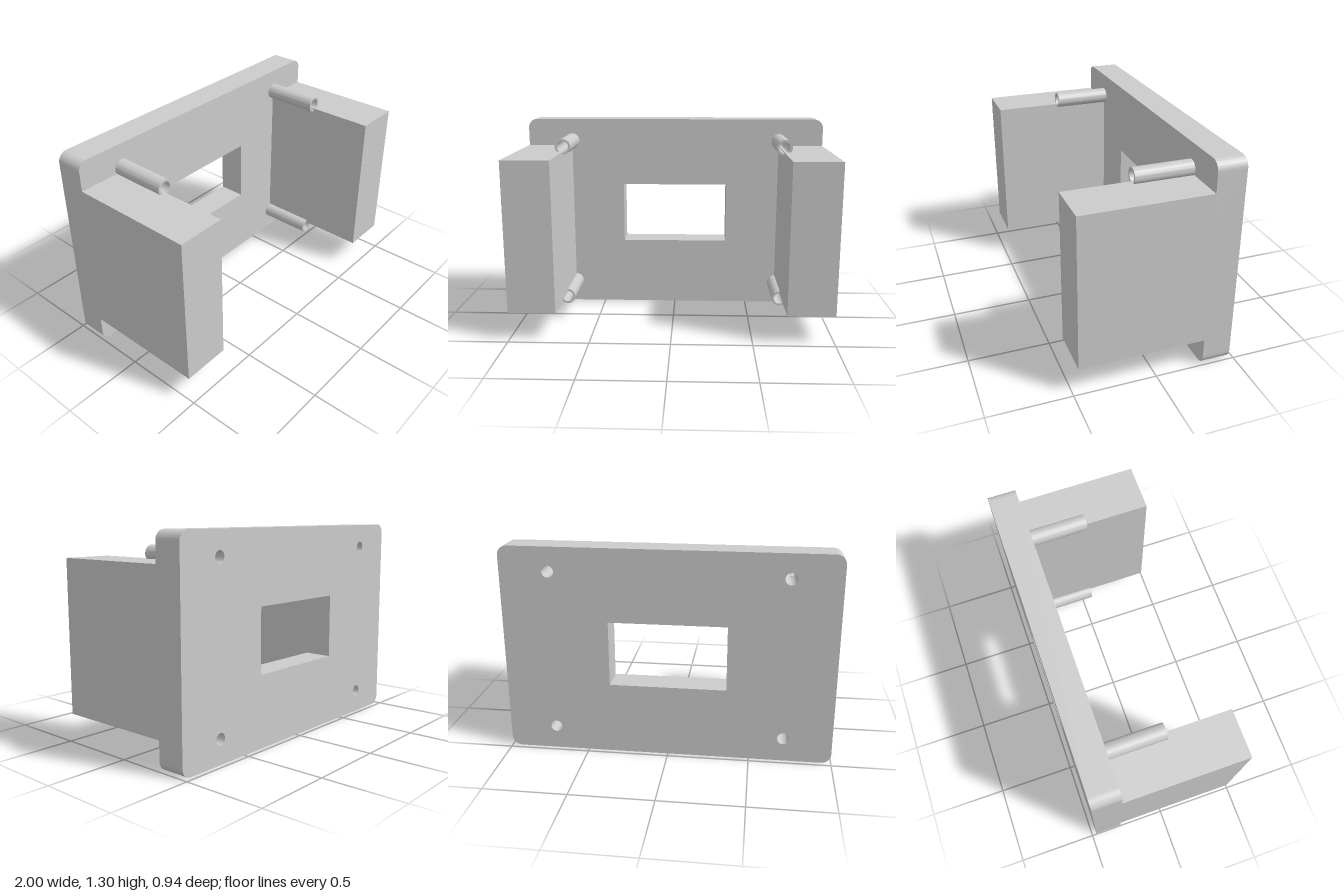
import * as THREE from 'three';
import { toCreasedNormals } from 'three/addons/utils/BufferGeometryUtils.js';

const material = new THREE.MeshStandardMaterial({ color: 0xcccccc });
const H = 1.296, BACK = -0.47, FACE = -0.295, FRONT = 0.47;
const HOLE_R = 0.036, POST_R = 0.05, POST_X = 0.705, POST_DY = 0.5;

function circle(x, y, r, PathType = THREE.Path) {
  const path = new PathType();
  path.absarc(x, y, r, 0, Math.PI * 2, false);
  return path;
}

// Extrude a shape in the xy plane from z0 to z1
function extrude(name, shape, z0, z1) {
  const geometry = new THREE.ExtrudeGeometry(shape, { depth: z1 - z0, bevelEnabled: false, curveSegments: 20 });
  geometry.translate(0, 0, z0);
  const mesh = new THREE.Mesh(toCreasedNormals(geometry, 0.6), material);
  mesh.name = name;
  return mesh;
}

function roundedRect(w, h, r) {
  const s = new THREE.Shape(), x = w / 2 - r, y = h / 2 - r;
  s.absarc(x, y, r, 0, Math.PI / 2);
  s.absarc(-x, y, r, Math.PI / 2, Math.PI);
  s.absarc(-x, -y, r, Math.PI, Math.PI * 1.5);
  s.absarc(x, -y, r, Math.PI * 1.5, Math.PI * 2);
  s.closePath();
  return s;
}

export function createModel() {
  const model = new THREE.Group();
  model.name = 'mountingBracket';

  // Back plate with central window and screw holes
  const plate = roundedRect(2, H, 0.06);
  const wx = 0.355, wy = 0.2;
  plate.holes.push(new THREE.Path([
    new THREE.Vector2(-wx, -wy), new THREE.Vector2(-wx, wy),
    new THREE.Vector2(wx, wy), new THREE.Vector2(wx, -wy),
  ]));

  for (const [side, sx] of [['left', 1], ['right', -1]]) {
    // Side block standing forward from the plate
    const block = new THREE.Mesh(new THREE.BoxGeometry(0.295, 0.94, FRONT - FACE), material);
    block.position.set(sx * 0.8525, 0, (FRONT + FACE) / 2);
    block.name = side + 'Block';
    model.add(block);

    // Hollow screw posts
    for (const [level, sy] of [['Upper', 1], ['Lower', -1]]) {
      const x = sx * POST_X, y = sy * POST_DY;
      plate.holes.push(circle(x, y, HOLE_R));
      const ring = circle(x, y, POST_R, THREE.Shape);
      ring.holes.push(circle(x, y, HOLE_R));
      model.add(extrude(side + level + 'Post', ring, FACE, 0.06));
    }
  }
  model.add(extrude('backPlate', plate, BACK, FACE));

  // Stand the plate on the ground
  for (const part of model.children) part.position.y += H / 2;
  return model;
}
